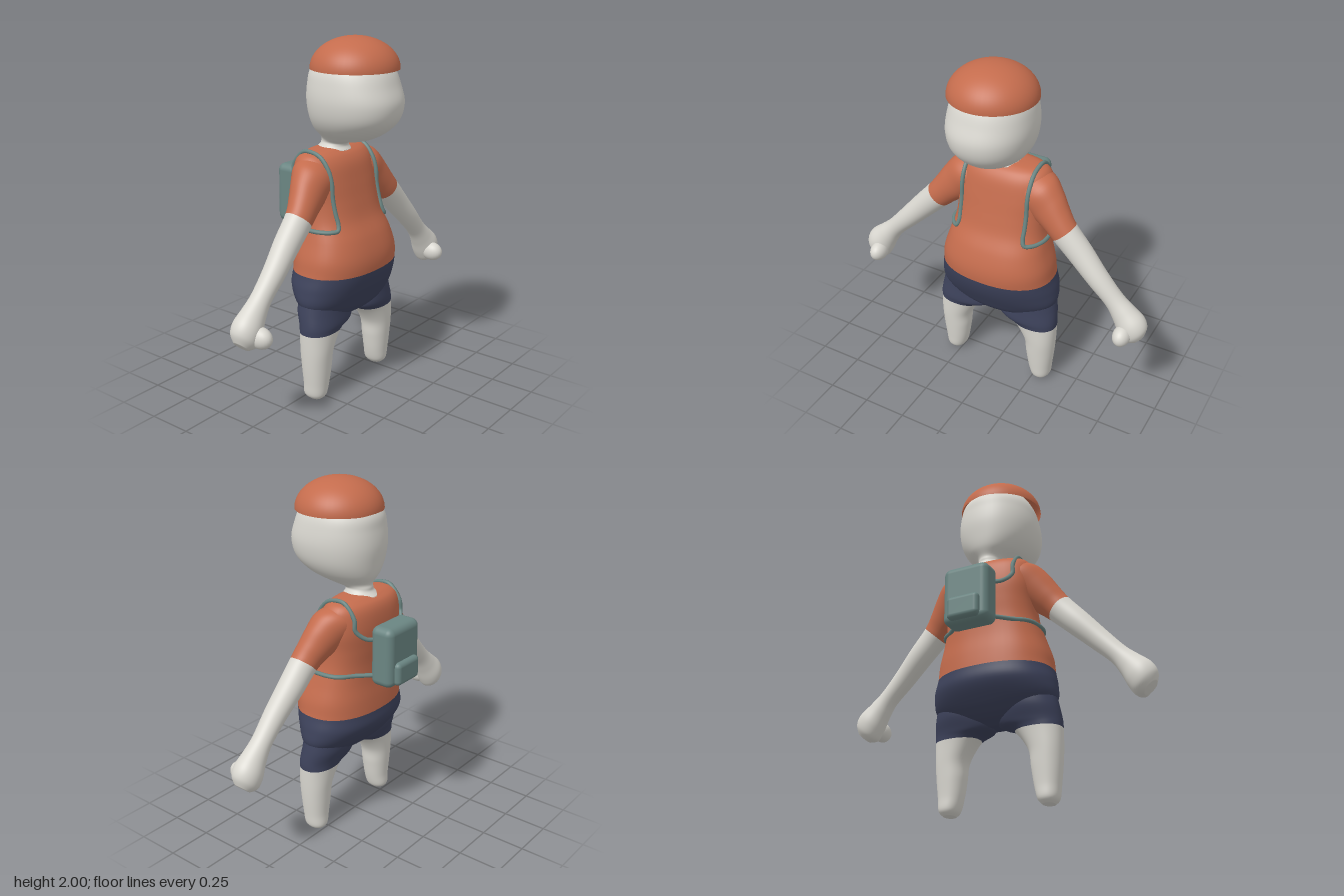
import * as THREE from 'three';
import { RoundedBoxGeometry } from 'three/addons/geometries/RoundedBoxGeometry.js';

const mat = (name, color, side = THREE.FrontSide) => {
  const m = new THREE.MeshStandardMaterial({ color, side });
  m.name = name;
  return m;
};

// Catmull-Rom blend of whole cross-sections
function blend(list, i, t) {
  const at = k => list[Math.min(Math.max(k, 0), list.length - 1)];
  const [a, b, c, d] = [at(i - 1), at(i), at(i + 1), at(i + 2)];
  return b.map((_, k) => 0.5 * (2 * b[k] + (c[k] - a[k]) * t
    + (2 * a[k] - 5 * b[k] + 4 * c[k] - d[k]) * t * t
    + (3 * b[k] - a[k] - 3 * c[k] + d[k]) * t * t * t));
}

// Skin over sections [x, y, z, radiusAcross, radiusZ, squareness] from index i0 to i1,
// running along dir (in the xy plane); real ends are closed
function loft(list, i0, i1, dir = [0, 1], side = 1) {
  const SEG = 48, STEP = 6, pos = [], idx = [];
  const ux = dir[1], uy = -dir[0] * side;
  const rows = [];
  for (let i = i0; i < i1; i++) for (let j = 0; j < STEP; j++) rows.push(blend(list, i, j / STEP));
  rows.push(list[i1]);
  for (const [x, y, z, ru, rz, n] of rows) {
    for (let k = 0; k < SEG; k++) {
      const a = k / SEG * Math.PI * 2, c = Math.cos(a), s = Math.sin(a);
      const u = ru * Math.sign(c) * Math.abs(c) ** (2 / n);
      const w = rz * Math.sign(s) * Math.abs(s) ** (2 / n);
      pos.push(x * side + ux * u, y + uy * u, z + w);
    }
  }
  for (let r = 0; r < rows.length - 1; r++) for (let k = 0; k < SEG; k++) {
    const a = r * SEG + k, b = r * SEG + (k + 1) % SEG;
    idx.push(a, a + SEG, b, b, a + SEG, b + SEG);
  }
  const cap = (r, flip) => {
    const c = pos.length / 3, [x, y, z] = rows[r];
    pos.push(x * side, y, z);
    for (let k = 0; k < SEG; k++) {
      const a = r * SEG + k, b = r * SEG + (k + 1) % SEG;
      idx.push(c, flip ? b : a, flip ? a : b);
    }
  };
  if (i0 === 0) cap(0, false);
  if (i1 === list.length - 1) cap(rows.length - 1, true);
  const g = new THREE.BufferGeometry();
  g.setAttribute('position', new THREE.Float32BufferAttribute(pos, 3));
  g.setIndex(idx);
  g.computeVertexNormals();
  return g;
}

const TORSO = [
  [0, 0.45, 0.055, 0.10, 0.05, 2], [0, 0.49, 0.05, 0.27, 0.12, 2],
  [0, 0.56, 0.038, 0.355, 0.172, 2.1], [0, 0.65, 0.03, 0.357, 0.22, 2.2],
  [0, 0.735, 0.04, 0.337, 0.23, 2.3], [0, 0.82, 0.041, 0.325, 0.226, 2.4],
  [0, 0.92, 0.03, 0.295, 0.205, 2.5], [0, 1.02, 0.005, 0.27, 0.18, 2.5],
  [0, 1.12, -0.015, 0.265, 0.17, 2.5], [0, 1.22, -0.031, 0.275, 0.161, 2.5],
  [0, 1.31, -0.04, 0.27, 0.145, 2.4], [0, 1.36, -0.045, 0.25, 0.12, 2.3],
  [0, 1.385, -0.045, 0.205, 0.085, 2.2], [0, 1.395, -0.045, 0.1, 0.06, 2],
];
const LEG = [
  [0.29, 0.002, 0.055, 0.032, 0.04, 2.2], [0.29, 0.03, 0.055, 0.056, 0.065, 2.2],
  [0.285, 0.1, 0.059, 0.07, 0.071, 2.2], [0.2825, 0.2, 0.06, 0.083, 0.08, 2.2],
  [0.2785, 0.3, 0.06, 0.0935, 0.088, 2.2], [0.2425, 0.405, 0.0575, 0.1325, 0.0975, 2.2],
  [0.197, 0.45, 0.055, 0.177, 0.11, 2.2], [0.19, 0.52, 0.04, 0.175, 0.12, 2.1],
  [0.19, 0.6, 0.035, 0.16, 0.12, 2],
];
const ARM = [
  [0.12, 1.28, -0.04, 0.13, 0.12, 2], [0.2, 1.25, -0.02, 0.13, 0.12, 2],
  [0.27, 1.195, 0, 0.115, 0.1, 2], [0.335, 1.135, 0.02, 0.093, 0.085, 2],
  [0.395, 1.073, 0.035, 0.08, 0.075, 2], [0.5, 0.965, 0.04, 0.072, 0.07, 2],
  [0.61, 0.85, 0.05, 0.062, 0.062, 2], [0.71, 0.745, 0.05, 0.056, 0.056, 2],
  [0.77, 0.675, 0.05, 0.07, 0.065, 2], [0.82, 0.61, 0.05, 0.088, 0.08, 2],
  [0.85, 0.56, 0.05, 0.083, 0.072, 2], [0.87, 0.53, 0.05, 0.045, 0.04, 2],
];
const HEAD = [
  [0, 1.38, -0.04, 0.095, 0.1, 2], [0, 1.405, -0.033, 0.075, 0.08, 2],
  [0, 1.425, -0.02, 0.07, 0.09, 2], [0, 1.45, 0.04, 0.1, 0.15, 2],
  [0, 1.5, 0.0775, 0.165, 0.2125, 2.1], [0, 1.57, 0.1025, 0.21, 0.2525, 2.2],
  [0, 1.66, 0.1075, 0.23, 0.2675, 2.2], [0, 1.75, 0.0985, 0.225, 0.2515, 2.2],
  [0, 1.83, 0.0915, 0.205, 0.2285, 2.1], [0, 1.91, 0.1, 0.15, 0.16, 2],
  [0, 1.95, 0.1, 0.05, 0.05, 2],
];
const ARM_DIR = [0.68, -0.73];

export function createModel() {
  const model = new THREE.Group();
  const skin = mat('pale skin', 0xd9d7d0);
  const orange = mat('rust fabric', 0xc46c4d, THREE.DoubleSide);
  const navy = mat('navy fabric', 0x3d425b);
  const teal = mat('grey teal canvas', 0x6a8582);
  const add = (name, geo, material, parent = model) => {
    const m = new THREE.Mesh(geo, material);
    m.name = name;
    parent.add(m);
    return m;
  };

  // Trunk, head and cap
  add('shorts', loft(TORSO, 0, 4), navy);
  const shirt = add('shirt', loft(TORSO, 4, TORSO.length - 1), orange);
  add('head', loft(HEAD, 0, HEAD.length - 1), skin);
  const cap = add('cap', new THREE.SphereGeometry(0.24, 48, 20, 0, Math.PI * 2, 0, Math.PI / 2), orange);
  cap.scale.y = 0.17 / 0.24;
  cap.position.set(0, 1.83, 0.105);

  // Limbs
  const clothes = [shirt];
  for (const s of [1, -1]) {
    const side = s > 0 ? 'left' : 'right';
    const dir = [ARM_DIR[0], ARM_DIR[1]];
    add(side + 'Leg', loft(LEG, 0, 5, [0, 1], s), skin);
    add(side + 'ShortsLeg', loft(LEG, 5, LEG.length - 1, [0, 1], s), navy);
    // the across axis turns with the side so the faces stay outward
    clothes.push(add(side + 'Sleeve', loft(ARM, 0, 4, dir, s), orange));
    add(side + 'Forearm', loft(ARM, 4, ARM.length - 1, dir, s), skin);
    const thumb = add(side + 'Thumb', new THREE.SphereGeometry(1, 24, 16), skin);
    thumb.scale.set(0.05, 0.058, 0.07);
    thumb.position.set(0.8 * s, 0.575, 0.12);
  }

  // Backpack
  const pack = new THREE.Group();
  pack.name = 'backpack';
  model.add(pack);
  add('packBody', new RoundedBoxGeometry(0.27, 0.34, 0.14, 5, 0.04), teal, pack).position.set(0, 1.1, -0.275);
  add('packPocket', new RoundedBoxGeometry(0.19, 0.13, 0.07, 5, 0.025), teal, pack).position.set(0, 1.01, -0.34);

  // Straps laid on the shirt by casting rays from outside
  model.updateMatrixWorld(true);
  const ray = new THREE.Raycaster();
  const snap = (x, y, z, dx, dy, dz) => {
    const d = new THREE.Vector3(dx, dy, dz);
    ray.set(new THREE.Vector3(x, y, z), d);
    const hit = ray.intersectObjects(clothes, false)[0];
    return hit ? hit.point.addScaledVector(d, -0.005) : null;
  };
  const path = [
    new THREE.Vector3(0.09, 1.19, -0.235), new THREE.Vector3(0.155, 1.2, -0.2),
    ...[1.25, 1.31].map(y => snap(0.2, y, -1, 0, 0, 1)),
    ...[-0.09, -0.03, 0.03].map(z => snap(0.2, 2, z, 0, -1, 0)),
    ...[1.31, 1.24, 1.16, 1.08, 1.02].map(y => snap(0.2, y, 1, 0, 0, -1)),
    snap(0.212, 0.99, 1, 0, 0, -1), snap(0.245, 0.983, 1, 0, 0, -1),
    ...[0.07, 0, -0.07].map(z => snap(1, 0.983, z, -1, 0, 0)),
    ...[0.24, 0.19].map(x => snap(x, 0.983, -1, 0, 0, 1)),
    new THREE.Vector3(0.11, 0.983, -0.225),
  ].filter(Boolean);
  for (const s of [1, -1]) {
    const curve = new THREE.CatmullRomCurve3(path.map(p => new THREE.Vector3(p.x * s, p.y, p.z)));
    add(s > 0 ? 'leftStrap' : 'rightStrap', new THREE.TubeGeometry(curve, 140, 0.012, 8), teal, pack);
  }
  return model;
}
